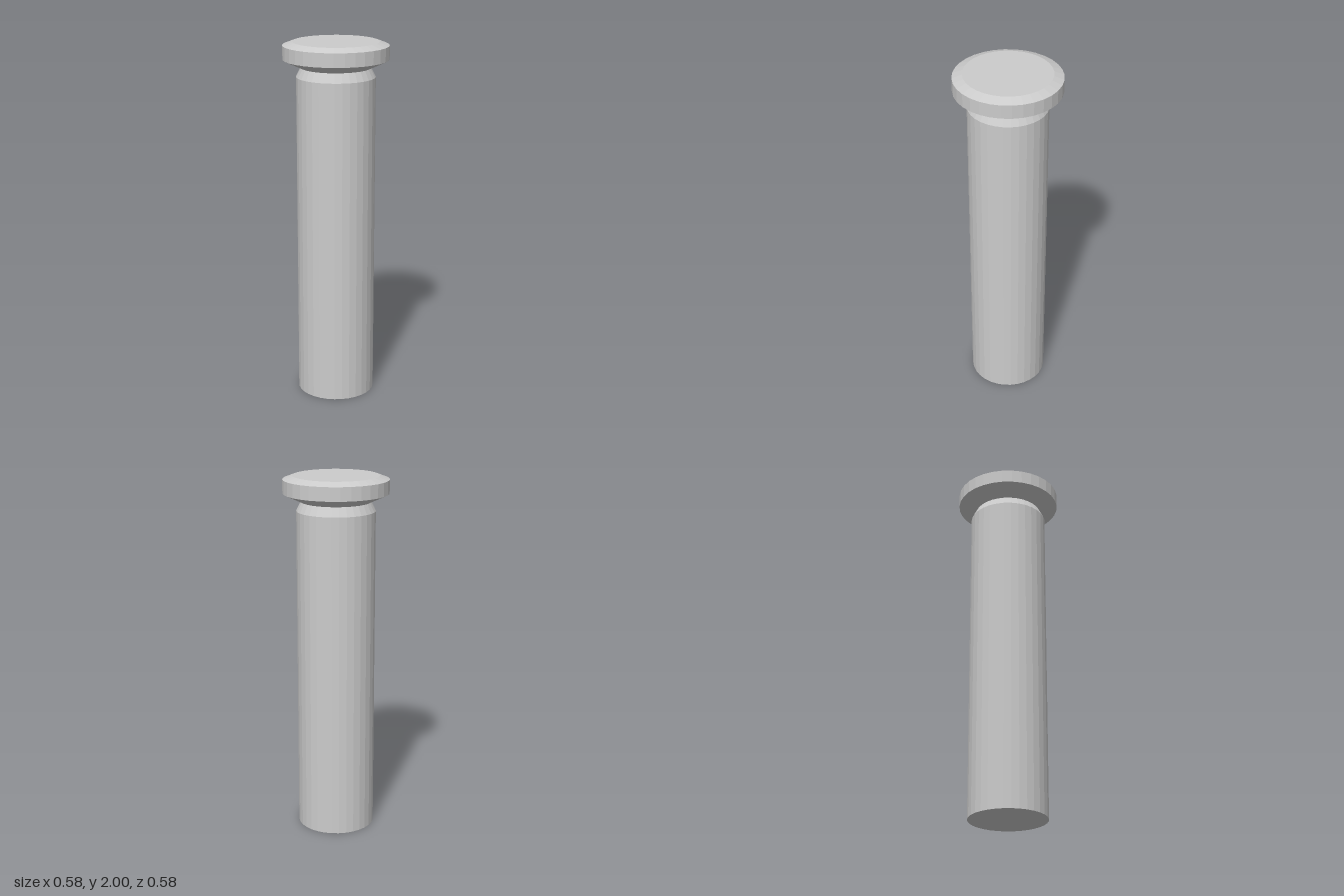
import * as THREE from 'three';

const SIDES = 32;

export function createModel() {
  const group = new THREE.Group();
  group.name = 'headedPin';
  const material = new THREE.MeshStandardMaterial({ color: 0xcccccc, flatShading: true });

  // Turns a [radius, height] profile, listed from bottom to top
  const turned = (name, profile) => {
    const points = profile.map(([r, y]) => new THREE.Vector2(r, y));
    const mesh = new THREE.Mesh(new THREE.LatheGeometry(points, SIDES), material);
    mesh.name = name;
    group.add(mesh);
  };

  // Straight shaft with a closed base and a tapered shoulder
  turned('shaft', [[0, 0], [0.215, 0], [0.215, 1.81], [0.19, 1.86]]);

  // Flared head with an upright rim, bevelled edge and flat top
  turned('head', [[0.19, 1.86], [0.288, 1.905], [0.288, 1.98], [0.235, 2], [0, 2]]);

  return group;
}
